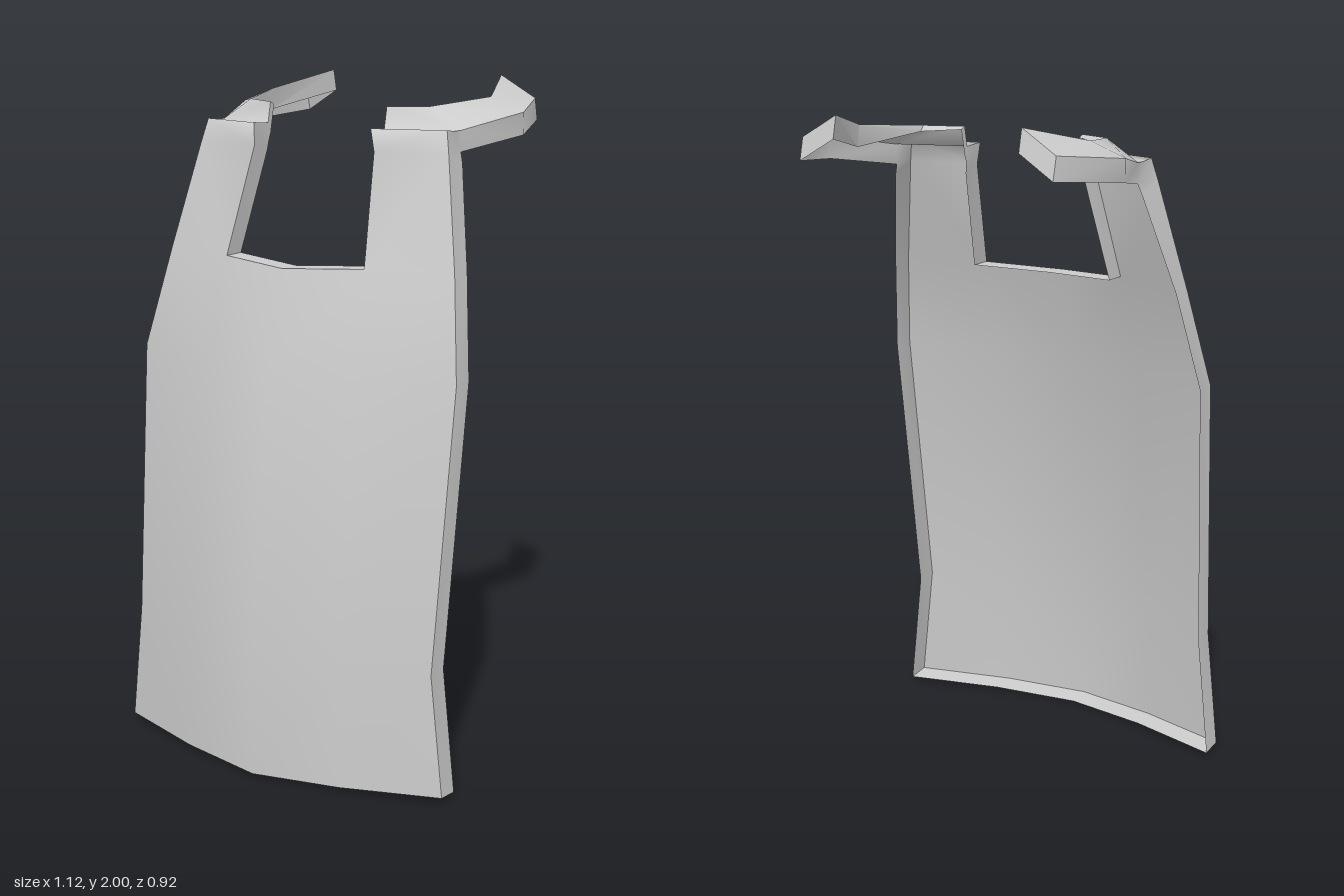
import * as THREE from 'three';
import { toCreasedNormals } from 'three/addons/utils/BufferGeometryUtils.js';

const THICK = 0.07;

// Front half of the plate, bottom to neckline, each row: middle, inner, outer
const PLATE = [
  [[0, 0.008, 0.46], [0.27, 0.014, 0.41], [0.56, 0.02, 0.32]],
  [[0, 0.38, 0.455], [0.26, 0.38, 0.405], [0.52, 0.38, 0.32]],
  [[0, 1.2, 0.37], [0.25, 1.2, 0.32], [0.54, 1.2, 0.237]],
  [[0, 1.485, 0.29], [0.237, 1.495, 0.23], [0.49, 1.49, 0.167]],
];

// Strap sections from chest to tip: inner edge, outer edge, then the rim edges behind them
const STRAP = [
  [[0.205, 1.81, 0.13], [0.425, 1.81, 0.095], [0.42, 1.78, 0.008], [0.205, 1.79, 0.066]],
  [[0.2, 1.875, 0.14], [0.41, 1.875, 0.08], [0.41, 1.81, 0], [0.2, 1.825, 0.062]],
  [[0.2, 1.87, 0.068], [0.41, 1.87, 0.035], [0.41, 1.81, 0], [0.2, 1.84, 0.055]],
  [[0.2, 1.93, 0.055], [0.41, 1.87, 0], [0.41, 1.81, 0], [0.2, 1.922, 0.037]],
  [[0.31, 1.932, 0], [0.41, 1.87, 0], [0.41, 1.81, 0], [0.31, 1.915, -0.014]],
  [[0.383, 1.95, -0.22], [0.49, 1.91, -0.22], [0.49, 1.845, -0.22], [0.39, 1.885, -0.22]],
  [[0.3, 2, -0.437], [0.41, 1.935, -0.447], [0.41, 1.87, -0.463], [0.3, 1.935, -0.452]],
];

// Collects a quad, mirrored to the other side when side is -1
function addQuad(out, side, a, b, c, d) {
  for (const tri of [[a, b, c], [a, c, d]]) {
    const p = tri.map(([x, y, z]) => new THREE.Vector3(side * x, y, z));
    if (new THREE.Triangle(...p).getArea() < 1e-7) continue;
    if (side < 0) p.reverse();
    p.forEach((v) => out.push(v.x, v.y, v.z));
  }
}

// Joins successive rows of points with quads
function loft(out, side, rows) {
  for (let k = 0; k + 1 < rows.length; k++) {
    for (let j = 0; j + 1 < rows[k].length; j++) {
      addQuad(out, side, rows[k][j], rows[k][j + 1], rows[k + 1][j + 1], rows[k + 1][j]);
    }
  }
}

// Pairs of front and back points around the outline, from bottom middle to neck middle
function rimPairs() {
  const back = ([x, y, z], drop = 0) => [x, y - drop, z - THICK];
  const [bottom, ...upper] = PLATE;
  const neck = PLATE[PLATE.length - 1];
  return [
    ...bottom.map((p) => [p, back(p, 0.008)]),
    ...upper.map((row) => [row[2], back(row[2])]),
    ...STRAP.map((s) => [s[1], s[2]]),
    ...[...STRAP].reverse().map((s) => [s[0], s[3]]),
    [neck[1], back(neck[1])],
    [neck[0], back(neck[0])],
  ];
}

function makeMesh(name, positions, creaseDegrees) {
  const geo = new THREE.BufferGeometry();
  geo.setAttribute('position', new THREE.Float32BufferAttribute(positions, 3));
  const mesh = new THREE.Mesh(
    toCreasedNormals(geo, THREE.MathUtils.degToRad(creaseDegrees)),
    new THREE.MeshStandardMaterial({ color: 0xcccccc, side: THREE.DoubleSide }),
  );
  mesh.name = name;
  return mesh;
}

export function createModel() {
  const sheet = [];
  const rim = [];
  const neck = PLATE[PLATE.length - 1];

  for (const side of [1, -1]) {
    // Curved plate, then the strap running up and back over the shoulder
    loft(sheet, side, PLATE);
    loft(sheet, side, [neck.slice(1), ...STRAP.map((s) => s.slice(0, 2))]);

    // Flange turned back along every edge, leaving the inside hollow
    loft(rim, side, rimPairs());
  }

  const group = new THREE.Group();
  group.name = 'breastplate';
  group.add(makeMesh('plateAndStraps', sheet, 120), makeMesh('edgeRim', rim, 40));
  return group;
}
